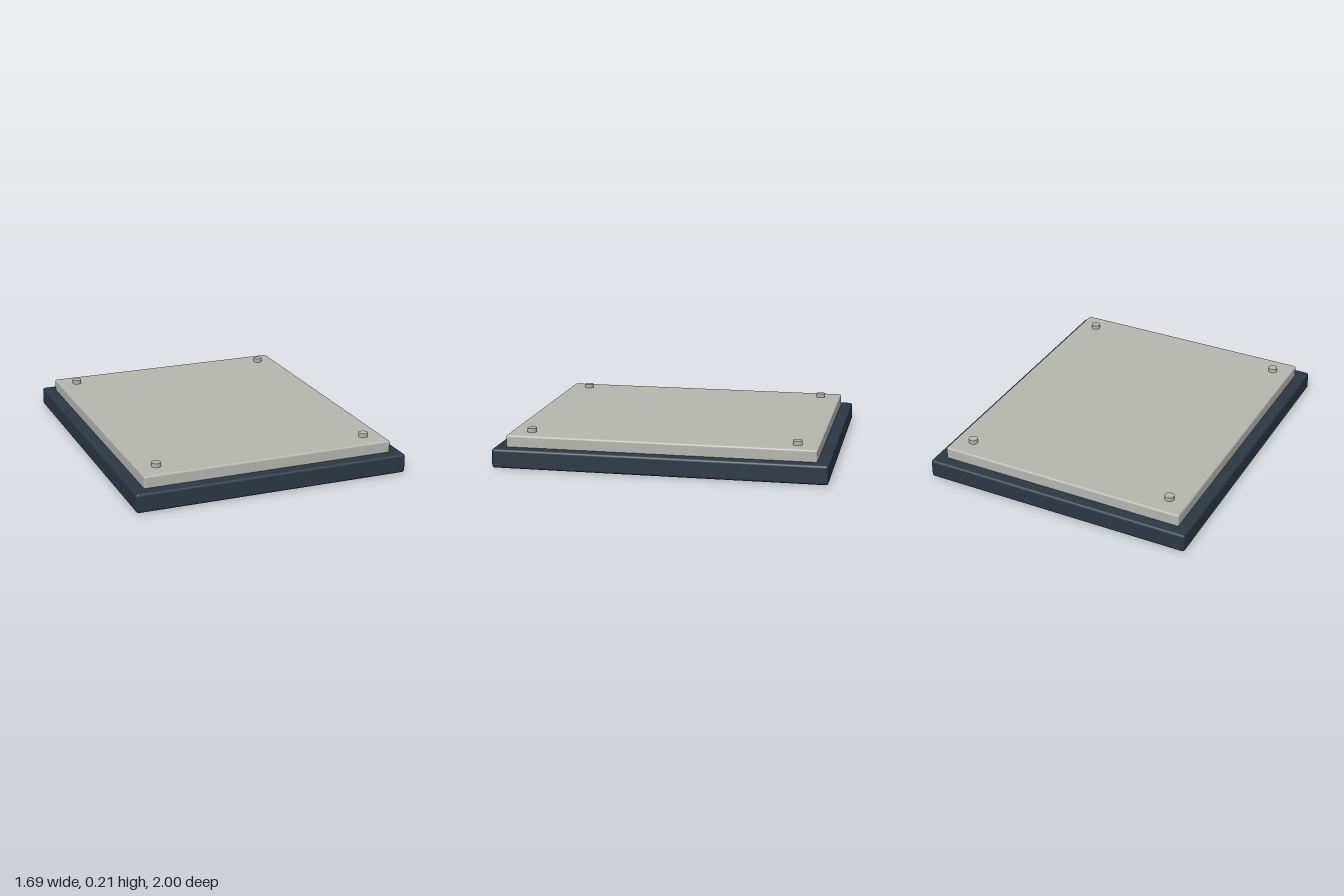
import * as THREE from 'three';
import { RoundedBoxGeometry } from 'three/addons/geometries/RoundedBoxGeometry.js';

export function createModel() {
  const group = new THREE.Group();
  const navy = new THREE.MeshStandardMaterial({ color: 0x2d3743 });
  navy.name = 'dark slate';
  const grey = new THREE.MeshStandardMaterial({ color: 0xb5b6b0 });
  grey.name = 'warm grey';

  // Rounded slab spanning bottom to top
  const slab = (name, width, depth, bottom, top, radius, material) => {
    const mesh = new THREE.Mesh(new RoundedBoxGeometry(width, top - bottom, depth, 4, radius), material);
    mesh.position.y = (bottom + top) / 2;
    mesh.name = name;
    group.add(mesh);
  };
  slab('base', 1.688, 2, 0, 0.116, 0.016, navy);
  // The panel is seated slightly into the base
  slab('panel', 1.548, 1.858, 0.1, 0.187, 0.012, grey);

  // Four corner studs standing on the panel
  const studGeometry = new THREE.CylinderGeometry(0.028, 0.028, 0.032, 24);
  for (const x of [-1, 1]) {
    for (const z of [-1, 1]) {
      const stud = new THREE.Mesh(studGeometry, grey);
      stud.position.set(x * 0.658, 0.196, z * 0.801);
      stud.name = `${z > 0 ? 'front' : 'back'}${x > 0 ? 'Left' : 'Right'}Stud`;
      group.add(stud);
    }
  }
  return group;
}
